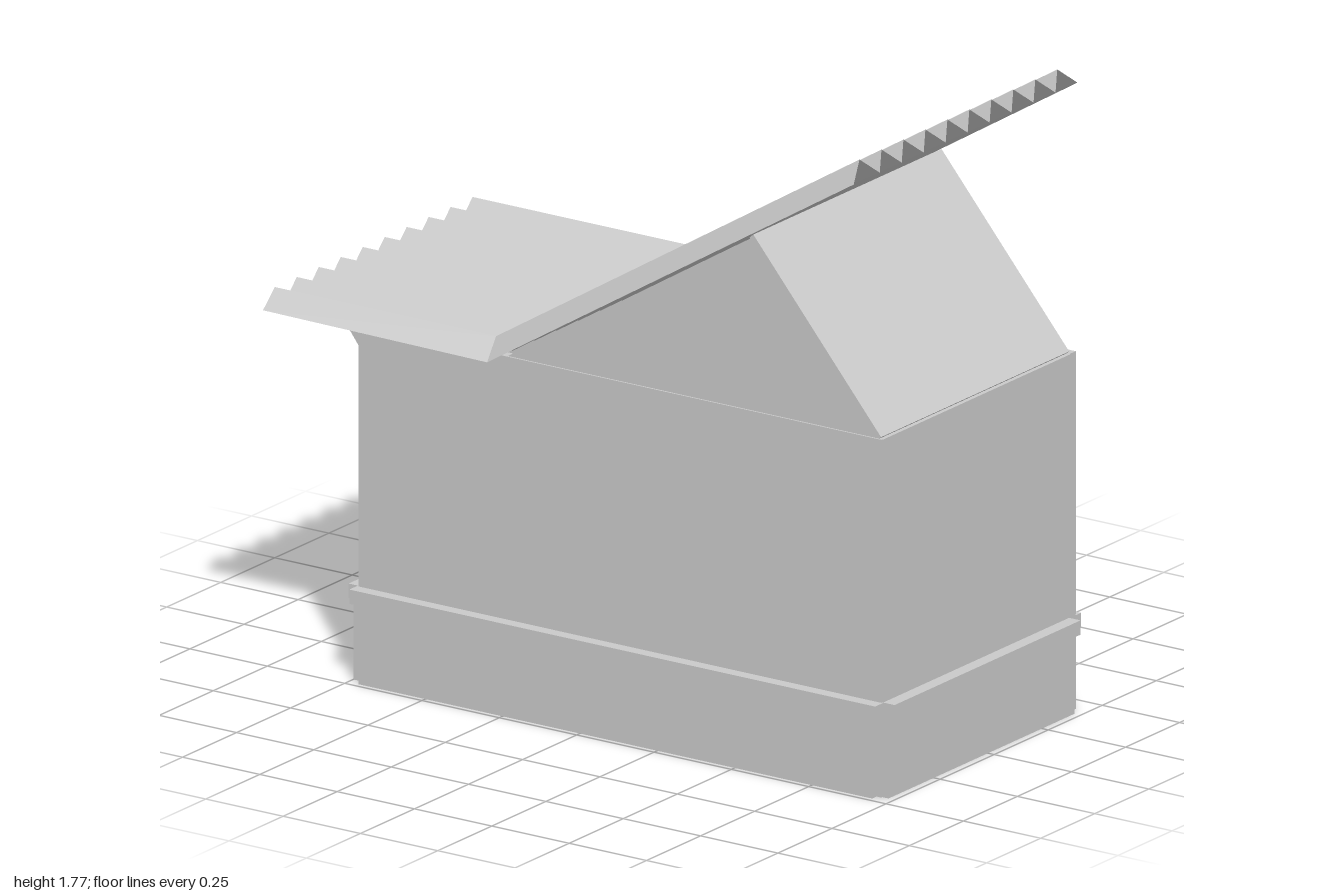
import * as THREE from 'three';

const grey = new THREE.MeshStandardMaterial({ color: 0xcccccc });
grey.name = 'plainGrey';
const sheetGrey = grey.clone();
sheetGrey.name = 'plainGreySheet';
sheetGrey.side = THREE.DoubleSide;

// Box given by its minimum and maximum corners
function box(name, parent, [x0, y0, z0], [x1, y1, z1]) {
  const mesh = new THREE.Mesh(new THREE.BoxGeometry(x1 - x0, y1 - y0, z1 - z0), grey);
  mesh.name = name;
  mesh.position.set((x0 + x1) / 2, (y0 + y1) / 2, (z0 + z1) / 2);
  parent.add(mesh);
  return mesh;
}

// Row of upright boards filling a box, split along x or z
function boardRow(name, parent, axis, count, min, max) {
  const row = new THREE.Group();
  row.name = name;
  const i = axis === 'x' ? 0 : 2;
  const step = (max[i] - min[i]) / count;
  for (let k = 0; k < count; k++) {
    const a = [...min], b = [...max];
    a[i] = min[i] + k * step;
    b[i] = a[i] + step;
    box('board', row, a, b);
  }
  parent.add(row);
}

// Bar between two points in the xy plane
function bar(name, parent, [x0, y0], [x1, y1], z, width, depth) {
  const mesh = new THREE.Mesh(new THREE.BoxGeometry(Math.hypot(x1 - x0, y1 - y0), width, depth), grey);
  mesh.name = name;
  mesh.position.set((x0 + x1) / 2, (y0 + y1) / 2, z);
  mesh.rotation.z = Math.atan2(y1 - y0, x1 - x0);
  parent.add(mesh);
}

// Gable of upright boards cut to the roof slopes
const peakX = 0.535;
const gableTop = (x) => Math.max(1, x < peakX ? 1 + (x + 0.25) * 0.612 : 1.48 - (x - peakX) * 1.17);
function gable(name, parent, z, depth) {
  const group = new THREE.Group();
  group.name = name;
  const count = 18, x0 = -0.25, x1 = 0.945, step = (x1 - x0) / count;
  for (let k = 0; k < count; k++) {
    const a = x0 + k * step, b = a + step;
    const points = [[a, 1], [b, 1], [b, gableTop(b)]];
    if (a < peakX && b > peakX) points.push([peakX, gableTop(peakX)]);
    points.push([a, gableTop(a)]);
    const shape = new THREE.Shape(points.map((p) => new THREE.Vector2(...p)));
    const mesh = new THREE.Mesh(new THREE.ExtrudeGeometry(shape, { depth, bevelEnabled: false }), grey);
    mesh.name = 'gableBoard';
    mesh.position.z = z;
    group.add(mesh);
  }
  parent.add(group);
}

// Corrugated sheet: a zigzag across z swept along the bent roof line
function corrugatedRoof() {
  const valley = [[-1, 1], [-0.265, 1], [0.92, 1.725]];
  const peak = [[-1, 1.05], [-0.285, 1.05], [0.89, 1.77]];
  const folds = 20, pos = [], index = [];
  for (let s = 0; s < 3; s++) {
    for (let k = 0; k <= folds; k++) {
      const [x, y] = (k % 2 ? peak : valley)[s];
      const z = k === folds ? (s ? 0.535 : 0.52) : -0.5 + k * 0.0508;
      pos.push(x, y, z);
    }
  }
  const n = folds + 1;
  for (let s = 0; s < 2; s++) {
    for (let k = 0; k < folds; k++) {
      const a = s * n + k, b = a + 1, c = a + n, d = c + 1;
      index.push(a, b, c, b, d, c);
    }
  }
  const indexed = new THREE.BufferGeometry();
  indexed.setAttribute('position', new THREE.Float32BufferAttribute(pos, 3));
  indexed.setIndex(index);
  const geometry = indexed.toNonIndexed();
  geometry.computeVertexNormals();
  const mesh = new THREE.Mesh(geometry, sheetGrey);
  mesh.name = 'corrugatedRoof';
  return mesh;
}

export function createModel() {
  const model = new THREE.Group();
  model.name = 'shed';

  // Board walls, open underneath
  boardRow('frontWall', model, 'x', 25, [-0.73, 0, 0.435], [0.96, 1, 0.465]);
  boardRow('backWallLeft', model, 'x', 10, [0.27, 0, -0.435], [0.96, 1, -0.405]);
  boardRow('backWallRight', model, 'x', 9, [-0.73, 0, -0.435], [-0.12, 1, -0.405]);
  boardRow('leftWall', model, 'z', 13, [0.935, 0, -0.405], [0.963, 1, 0.46]);
  boardRow('rightWall', model, 'z', 13, [-0.733, 0, -0.405], [-0.705, 1, 0.46]);

  // Skirting boards and the rails that cap them
  const skirtTop = 0.225, railTop = 0.265;
  boardRow('frontSkirt', model, 'x', 25, [-0.715, 0, 0.465], [0.945, skirtTop, 0.485]);
  boardRow('leftSkirt', model, 'z', 13, [0.96, 0, -0.4], [0.98, skirtTop, 0.46]);
  boardRow('rightSkirt', model, 'z', 13, [-0.75, 0, -0.4], [-0.73, skirtTop, 0.46]);
  boardRow('backSkirtLeft', model, 'x', 10, [0.27, 0, -0.442], [0.945, skirtTop, -0.43]);
  boardRow('backSkirtRight', model, 'x', 9, [-0.715, 0, -0.442], [-0.12, skirtTop, -0.43]);
  box('frontRail', model, [-0.735, skirtTop, 0.46], [0.965, railTop, 0.5]);
  box('leftRail', model, [0.96, skirtTop, -0.4], [1, railTop, 0.46]);
  box('rightRail', model, [-0.765, skirtTop, -0.4], [-0.73, railTop, 0.46]);
  box('backRailLeft', model, [0.28, skirtTop, -0.452], [0.965, railTop, -0.43]);
  box('backRailRight', model, [-0.735, skirtTop, -0.452], [-0.13, railTop, -0.43]);

  // Gables, with a zigzag truss on the back one
  gable('frontGable', model, 0.435, 0.025);
  gable('backGable', model, -0.41, 0.02);
  const truss = [[0.7, 1.28], [0.48, 1.04], [0.31, 1.29], [0.18, 1.04], [0.02, 1.13]];
  for (let k = 0; k < truss.length - 1; k++) {
    bar('trussBeam', model, truss[k], truss[k + 1], -0.418, 0.045, 0.02);
  }

  // Boarded short slope
  for (let k = 0; k < 13; k++) {
    const step = 0.87 / 13;
    bar('slopeBoard', model, [0.537, 1.487], [0.95, 1], -0.41 + (k + 0.5) * step, 0.016, step);
  }

  model.add(corrugatedRoof());

  // Struts under the overhang
  for (const z of [-0.32, 0.36]) {
    bar('roofStrut', model, [-0.86, 1.005], [-0.725, 0.825], z, 0.02, 0.025);
  }

  // Doorway: plain panel, door leaf and framed window
  box('doorPanel', model, [-0.12, 0, -0.425], [0.27, 1, -0.405]);
  box('door', model, [-0.07, 0, -0.435], [0.23, 0.55, -0.425]);
  box('windowPane', model, [-0.04, 0.37, -0.438], [0.18, 0.49, -0.434]);
  for (const y of [0.36, 0.49]) box('windowFrame', model, [-0.055, y, -0.446], [0.195, y + 0.015, -0.434]);
  for (const x of [-0.055, 0.18]) box('windowFrame', model, [x, 0.375, -0.446], [x + 0.015, 0.49, -0.434]);

  // Awning over the door
  box('awningTop', model, [-0.1, 0.577, -0.535], [0.27, 0.6, -0.425]);
  for (const x of [-0.1, 0.228]) box('awningEnd', model, [x, 0.547, -0.535], [x + 0.042, 0.572, -0.425]);
  for (const x of [-0.09, 0.238]) box('awningSpacer', model, [x, 0.57, -0.525], [x + 0.022, 0.58, -0.425]);

  return model;
}
